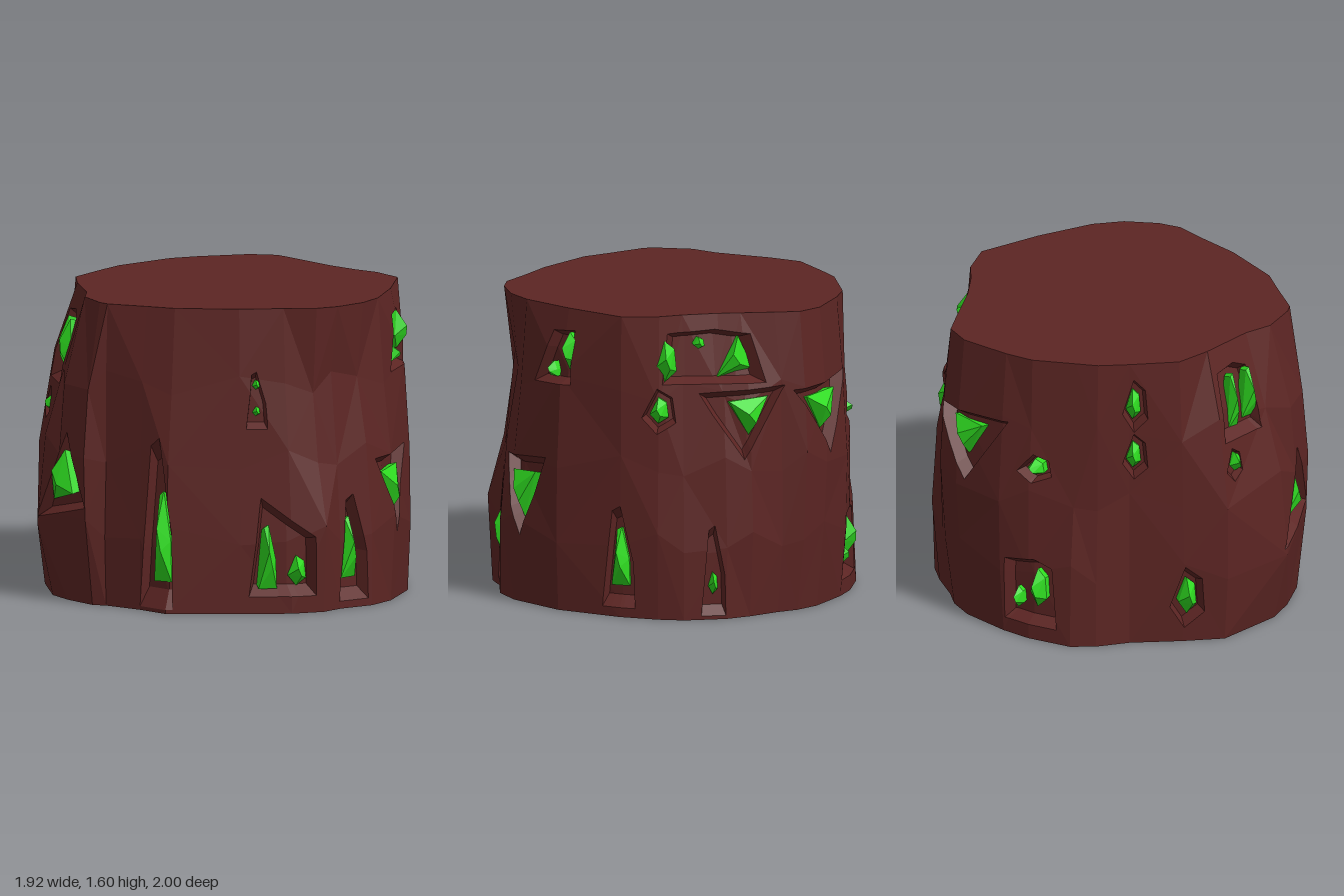
import * as THREE from 'three';
import { ConvexGeometry } from 'three/addons/geometries/ConvexGeometry.js';

const DEG = Math.PI / 180, R = 0.92; // R turns angles into distances along the wall
const LEVELS = [0, 0.4, 0.8, 1.2, 1.6];

// corner columns of the wall in degrees, starting at +z and turning to +x
const ANGLES = [0, 4, 18.6, 30, 55, 72, 83, 91, 103, 114, 135, 157.6, 170, 178,
  191, 199, 209.6, 216.4, 225, 241, 250.6, 265, 273, 284, 302, 315, 337, 347];
// radius of each column at each level
const RADII = [
  [.92, .88, .87, .93, .87, .92, .94, .91, .95, .95, .94, .95, .98, 1,
    1, .98, .96, .98, .98, .96, .96, .964, .93, .87, .90, .97, .96, .94],
  [.97, .89, .87, .91, .86, .92, .965, .91, .95, .975, .955, .95, .99, 1,
    1.01, 1.02, 1, 1.03, 1.03, .99, .96, .945, .92, .86, .93, 1, 1.044, 1],
  [.98, .88, .86, .89, .83, .87, .88, .88, .91, .95, .95, .93, .95, .955,
    .98, 1, 1, 1.06, 1.05, 1, .96, .90, .88, .85, .91, 1, 1, .99],
  [.95, .88, .85, .84, .80, .82, .83, .83, .85, .91, .92, .93, .92, .89,
    .92, .98, .99, 1.04, 1.04, .97, .93, .885, .88, .845, .89, .92, .90, .96],
  [.87, .87, .80, .79, .765, .795, .866, .885, .89, .875, .85, .92, .88, .835,
    .826, .857, .93, 1, 1, .94, .92, .865, .86, .835, .85, .80, .775, .84],
];
const N = ANGLES.length;

// convex outlines, counter-clockwise from outside
const OUTLINES = {
  up: [[-1, -1], [1, -.6], [.2, 1]],
  down: [[-1, .85], [0, -1], [1, 1]],
  slit: [[-1, -1], [1, -1], [.9, -.1], [.1, 1], [-.4, .9]],
  gem: [[-1, -.3], [-.1, -1], [1, -.5], [.8, .6], [-.1, 1]],
  quad: [[-1, -1], [1, -1], [.8, .8], [.1, 1], [-.9, .9]],
  fin: [[-1, -1], [1, -1], [.95, .2], [-.6, 1]],
  ramp: [[-1, -1], [1, -.9], [1, 1], [-.1, .9]],
};

// pocket: angle in degrees, height, half width, half height, outline,
// then its crystals (offset across, offset up, half width, half height, outline) if not a single one of its own shape
const POCKETS = [
  [348, .66, .19, .24, 'up'],
  [325.5, 1.3, .14, .19, 'quad', [[-.055, -.01, .035, .16, 'slit'], [.06, .01, .045, .14, 'slit']]],
  [320, .98, .06, .09, 'gem'],
  [25.5, .47, .11, .45, 'slit', [[0, -.07, .05, .24, 'slit']]],
  [69, .35, .18, .26, 'fin', [[-.08, -.05, .05, .17, 'slit'], [.08, -.13, .05, .08, 'gem']]],
  [96, .32, .09, .28, 'slit'],
  [118, .58, .18, .22, 'down'],
  [130, 1.34, .14, .15, 'ramp', [[.05, .04, .045, .1, 'gem'], [-.07, -.07, .025, .04, 'slit']]],
  [61, 1.12, .06, .15, 'slit', [[0, .08, .02, .025, 'gem'], [0, -.06, .02, .025, 'gem']]],
  [188, 1.38, .27, .14, 'quad', [[-.2, -.02, .06, .11, 'gem'], [-.02, .07, .03, .03, 'gem'], [.17, -.01, .1, .11, 'up']]],
  [170, 1.1, .09, .12, 'gem'],
  [197, 1.03, .22, .19, 'down', [[0, .03, .11, .1, 'down']]],
  [228, 1.02, .24, .2, 'down', [[0, .03, .12, .1, 'down']]],
  [286, 1.36, .07, .15, 'gem'],
  [286, 1.07, .07, .13, 'gem'],
  [252, .98, .09, .08, 'gem'],
  [303, .26, .09, .18, 'gem'],
  [251, .27, .15, .19, 'quad', [[.04, .02, .05, .11, 'gem'], [-.08, -.06, .03, .06, 'gem']]],
  [157, .32, .09, .27, 'slit'],
  [187, .26, .06, .24, 'slit', [[0, -.07, .025, .06, 'gem']]],
];

// a wall point: [distance around, y, x, z]
function wallPoint(i, j) {
  const k = i % N;
  const angle = (ANGLES[k] + (i < N ? 0 : 360)) * DEG;
  const inner = j > 0 && j < LEVELS.length - 1;
  const y = LEVELS[j] + (inner ? 0.06 * Math.sin(k * 2.1 + j * 1.7) : 0);
  const r = RADII[j][k];
  return [angle * R, y, r * Math.sin(angle), r * Math.cos(angle)];
}

const side = (p, a, b) => (b[0] - a[0]) * (p[1] - a[1]) - (b[1] - a[1]) * (p[0] - a[0]);
const toVec = (p) => new THREE.Vector3(p[2], p[1], p[3]);

// cut a convex polygon along the line a-b
function split(poly, a, b) {
  const inside = [], outside = [];
  poly.forEach((p, i) => {
    const q = poly[(i + 1) % poly.length];
    const sp = side(p, a, b), sq = side(q, a, b);
    if (sp >= 0) inside.push(p);
    if (sp <= 0) outside.push(p);
    if (sp * sq < 0) {
      const cut = p.map((v, n) => v + (q[n] - v) * sp / (sp - sq));
      inside.push(cut);
      outside.push(cut);
    }
  });
  return [inside, outside];
}

// take a pocket outline out of the wall polygons
function carve(polys, outline) {
  const rest = [], cut = [];
  for (const poly of polys) {
    let piece = poly;
    const left = [];
    outline.forEach((a, i) => {
      if (piece.length < 3) return;
      const [inside, outside] = split(piece, a, outline[(i + 1) % outline.length]);
      if (outside.length > 2) left.push(outside);
      piece = inside;
    });
    if (piece.length > 2) {
      cut.push(piece);
      rest.push(...left);
    } else rest.push(poly);
  }
  return { rest, cut };
}

// flat-sided geometry from convex polygons of vectors
function polygonGeometry(faces) {
  const pos = [];
  for (const f of faces)
    for (let i = 1; i < f.length - 1; i++)
      for (const v of [f[0], f[i], f[i + 1]]) pos.push(v.x, v.y, v.z);
  const g = new THREE.BufferGeometry();
  g.setAttribute('position', new THREE.Float32BufferAttribute(pos, 3));
  g.computeVertexNormals();
  return g;
}

// faceted shard: base sunk in the pocket, off-centre ridge pointing outwards
function crystalGeometry(hw, hh, kind) {
  const pts = [], out = Math.min(0.03, hw * 0.6);
  for (const [u, v] of OUTLINES[kind]) {
    pts.push(new THREE.Vector3(u * hw * 0.9, v * hh * 0.9, -0.08));
    pts.push(new THREE.Vector3(u * hw, v * hh, -0.03));
  }
  pts.push(new THREE.Vector3(-0.18 * hw, 0.2 * hh, out), new THREE.Vector3(0.2 * hw, -0.3 * hh, out * 0.8));
  return new ConvexGeometry(pts);
}

export function createModel() {
  const model = new THREE.Group();
  model.name = 'crystalRock';
  const rock = new THREE.MeshStandardMaterial({ color: 0x5c2523, flatShading: true });
  const green = new THREE.MeshStandardMaterial({ color: 0x2edb20, flatShading: true });
  const add = (name, geometry, material) => {
    const mesh = new THREE.Mesh(geometry, material);
    mesh.name = name;
    model.add(mesh);
    return mesh;
  };

  // uneven wall
  let wall = [];
  for (let j = 0; j < LEVELS.length - 1; j++)
    for (let i = 0; i < N; i++) {
      const a = wallPoint(i, j), b = wallPoint(i + 1, j), c = wallPoint(i + 1, j + 1), d = wallPoint(i, j + 1);
      if ((i + j) % 2) wall.push([a, b, c], [a, c, d]);
      else wall.push([a, b, d], [b, c, d]);
    }

  // sunken pockets and the crystals in them
  const pocketFaces = [];
  for (const [deg, y, hw, hh, kind, crystals = [[0, 0, hw * 0.56, hh * 0.58, kind]]] of POCKETS) {
    const outline = OUTLINES[kind].map(([u, v]) => [deg * DEG * R + u * hw, y + v * hh]);
    const { rest, cut } = carve(wall, outline);
    wall = rest;
    const all = cut.flat().map(toVec);
    const centre = all.reduce((s, v) => s.add(v), new THREE.Vector3()).divideScalar(all.length);
    centre.y = y;
    const normal = new THREE.Vector3(Math.sin(deg * DEG), 0, Math.cos(deg * DEG));
    const across = new THREE.Vector3(normal.z, 0, -normal.x);
    const depth = Math.min(0.06, hw * 0.7);
    const sink = (p) => toVec(p).sub(centre).multiplyScalar(0.78).add(centre).addScaledVector(normal, -depth);
    for (const piece of cut) {
      pocketFaces.push(piece.map(sink));
      piece.forEach((p, i) => {
        const q = piece[(i + 1) % piece.length];
        const onRim = outline.some((a, n) => {
          const b = outline[(n + 1) % outline.length];
          return Math.abs(side(p, a, b)) < 1e-7 && Math.abs(side(q, a, b)) < 1e-7;
        });
        if (onRim) pocketFaces.push([toVec(p), toVec(q), sink(q), sink(p)]);
      });
    }
    for (const [du, dv, cw, ch, shape] of crystals) {
      const crystal = add('crystal', crystalGeometry(cw, ch, shape), green);
      crystal.position.copy(centre).addScaledVector(across, du);
      crystal.position.y += dv;
      crystal.rotation.y = deg * DEG;
    }
  }
  add('rockWall', polygonGeometry(wall.map((p) => p.map(toVec))), rock);
  add('pockets', polygonGeometry(pocketFaces), rock);

  // flat top and bottom
  for (const [name, j] of [['topFace', LEVELS.length - 1], ['bottomFace', 0]]) {
    const hub = new THREE.Vector3(0, LEVELS[j], 0), faces = [];
    for (let i = 0; i < N; i++) {
      const a = toVec(wallPoint(i, j)), b = toVec(wallPoint(i + 1, j));
      faces.push(j ? [hub, a, b] : [hub, b, a]);
    }
    add(name, polygonGeometry(faces), rock);
  }
  return model;
}
